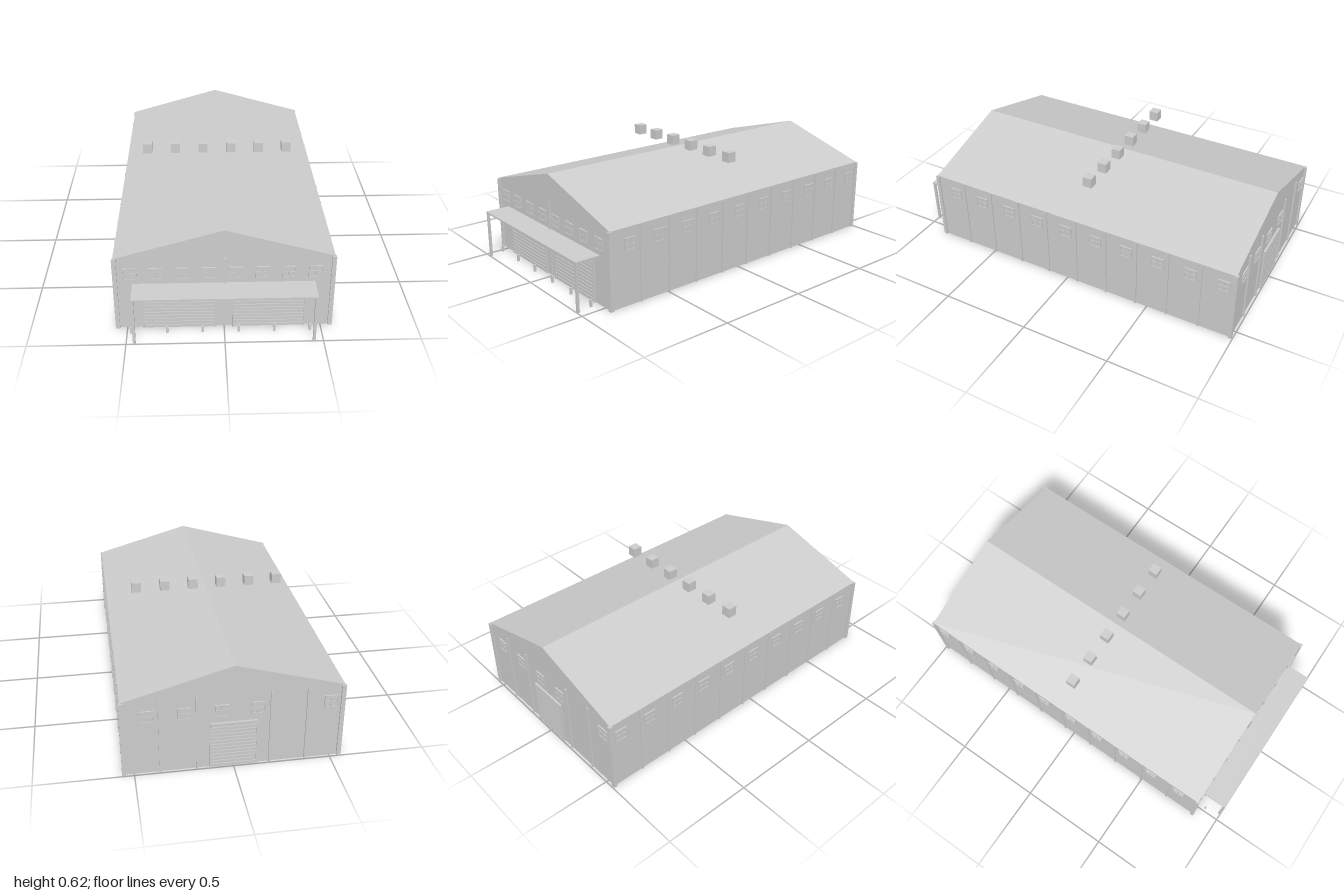
import * as THREE from 'three';

export function createModel() {
  const model = new THREE.Group();
  const grey = new THREE.MeshStandardMaterial({ color: 0xcccccc, side: THREE.DoubleSide });
  grey.name = 'lightGrey';

  const W = 0.55, EAVE = 0.42, RIDGE = 0.58, FRONT = 0.86, BACK = -0.985;
  const LENGTH = FRONT - BACK, MID = (FRONT + BACK) / 2;

  const add = (name, geometry, x = 0, y = 0, z = 0, parent = model) => {
    const mesh = new THREE.Mesh(geometry, grey);
    mesh.name = name;
    mesh.position.set(x, y, z);
    parent.add(mesh);
    return mesh;
  };
  const box = (name, w, h, d, x, y, z, parent) =>
    add(name, new THREE.BoxGeometry(w, h, d), x, y, z, parent);
  // group on a wall, its local +z facing outward
  const mount = (name, x, y, z, turn) => {
    const g = new THREE.Group();
    g.name = name;
    g.position.set(x, y, z);
    g.rotation.y = turn;
    model.add(g);
    return g;
  };

  // Gable end walls and long side walls, open underneath
  const gable = new THREE.Shape([[-W, 0], [W, 0], [W, EAVE], [0, RIDGE - 0.001], [-W, EAVE]]
    .map(([x, y]) => new THREE.Vector2(x, y)));
  add('frontWall', new THREE.ShapeGeometry(gable), 0, 0, FRONT);
  add('backWall', new THREE.ShapeGeometry(gable), 0, 0, BACK).rotation.y = Math.PI;
  for (const s of [-1, 1]) {
    add('sideWall', new THREE.PlaneGeometry(LENGTH, EAVE), s * W, EAVE / 2, MID)
      .rotation.y = s * Math.PI / 2;
  }

  // Two thin roof slopes
  const roof = new THREE.Shape([[-W - 0.005, EAVE], [0, RIDGE - 0.004], [W + 0.005, EAVE],
    [W + 0.005, EAVE + 0.003], [0, RIDGE], [-W - 0.005, EAVE + 0.003]]
    .map(([x, y]) => new THREE.Vector2(x, y)));
  add('roof', new THREE.ExtrudeGeometry(roof, { depth: LENGTH + 0.004, bevelEnabled: false }), 0, 0, BACK - 0.002);

  // Windows: pane, rim and crossing bars, showing on both sides of the wall
  const addWindow = (x, y, z, turn) => {
    const g = mount('window', x, y, z, turn);
    const w = 0.07, h = 0.066, t = 0.004;
    box('windowPane', w, h, 0.006, 0, 0, 0, g);
    for (const s of [-1, 1]) {
      box('windowRail', w, t, 0.014, 0, s * (h - t) / 2, 0, g);
      box('windowStile', t, h, 0.014, s * (w - t) / 2, 0, 0, g);
    }
    box('windowCrossbar', w, 0.006, 0.012, 0, 0, 0, g);
    box('windowMullion', 0.006, h, 0.012, 0, 0, 0, g);
  };
  const WY = 0.333;
  for (let i = 0; i < 8; i++) addWindow(-0.475 + i * 0.1336, WY, FRONT, 0);
  for (const x of [0.43, 0.245, 0.06, -0.12, -0.49]) addWindow(x, WY, BACK, Math.PI);
  for (const s of [-1, 1]) {
    for (let i = 0; i < 10; i++) addWindow(s * W, WY, 0.74 - i * 0.185, s * Math.PI / 2);
  }

  // Pilasters along the sides, the ends and the corners
  for (const s of [-1, 1]) {
    for (let i = 1; i < 10; i++) {
      box('sidePilaster', 0.016, EAVE, 0.009, s * W, EAVE / 2, FRONT - i * LENGTH / 10);
    }
    for (const z of [FRONT, BACK]) box('cornerPilaster', 0.022, EAVE, 0.02, s * W, EAVE / 2, z);
  }
  box('frontPilaster', 0.008, EAVE, 0.018, 0.003, EAVE / 2, FRONT);
  for (const x of [-0.37, -0.185, 0.185, 0.37]) {
    box('backPilaster', 0.009, EAVE, 0.018, x, EAVE / 2, BACK);
  }

  // Roller doors made of horizontal slats
  const addDoor = (x, z, width, turn) => {
    const g = mount('rollerDoor', x, 0, z, turn);
    const h = 0.26, n = 13, pitch = h / n;
    box('doorPanel', width, h, 0.01, 0, h / 2, 0, g);
    for (let i = 0; i < n; i++) {
      box('doorSlat', width - 0.008, pitch - 0.004, 0.006, 0, (i + 0.5) * pitch, 0.006, g);
    }
    for (const s of [-1, 1]) box('doorJamb', 0.006, h, 0.024, s * (width - 0.006) / 2, h / 2, 0, g);
    box('doorLintel', width, 0.005, 0.024, 0, h, 0, g);
  };
  addDoor(-0.233, FRONT, 0.374, 0);
  addDoor(0.229, FRONT, 0.374, 0);
  addDoor(0, BACK, 0.24, Math.PI);

  // Canopy over the front doors, on two posts
  box('canopy', 0.926, 0.01, 0.14, -0.002, 0.267, 0.93);
  for (const x of [-0.458, 0.453]) box('canopyPost', 0.014, 0.262, 0.013, x, 0.131, 0.9925);

  // Bollards in front of the doors
  for (let i = 0; i < 6; i++) box('bollard', 0.012, 0.038, 0.012, -0.479 + i * 0.184, 0.019, 0.908);

  // Row of cube vents across the roof
  for (let i = 0; i < 6; i++) box('roofVent', 0.053, 0.057, 0.053, -0.416 + i * 0.1617, 0.5925, -0.062);

  return model;
}
